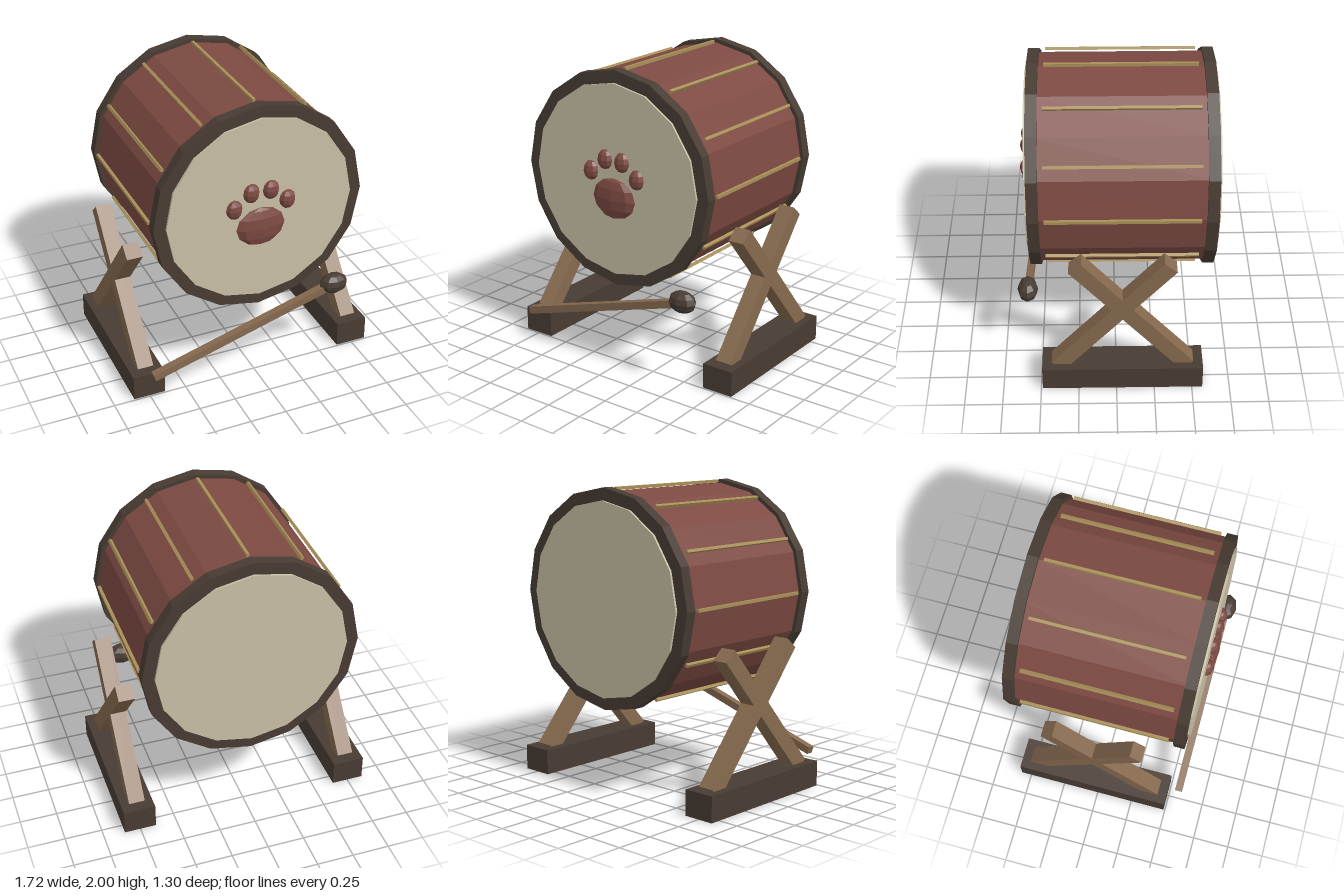
import * as THREE from 'three';

const mat = (color) => new THREE.MeshStandardMaterial({ color, flatShading: true, roughness: 0.9 });
const RED = mat(0x7d4a42), DARK = mat(0x483c33), SKIN = mat(0xc8bfa5), WOOD = mat(0x876a4f), GOLD = mat(0xa88f58);
const CY = 1.2875, CZ = -0.04; // drum axis

export function createModel() {
  const model = new THREE.Group();

  const add = (name, geometry, material, x, y, z, parent = model) => {
    const mesh = new THREE.Mesh(geometry, material);
    mesh.name = name;
    mesh.position.set(x, y, z);
    parent.add(mesh);
    return mesh;
  };

  // 16-sided disc along z, with a corner at the top
  const disc = (name, radius, z0, z1, material) => {
    const g = new THREE.CylinderGeometry(radius, radius, z1 - z0, 16).rotateX(Math.PI / 2);
    return add(name, g, material, 0, CY, (z0 + z1) / 2);
  };

  // Low-poly ellipsoid
  const blob = (name, material, x, y, z, rx, ry, rz, parent) =>
    add(name, new THREE.SphereGeometry(1, 8, 6).scale(rx, ry, rz), material, x, y, z, parent);

  // Square bar between two points
  const bar = (name, a, b, width, depth, material, parent) => {
    const dir = b.clone().sub(a);
    const m = add(name, new THREE.BoxGeometry(width, depth, dir.length()), material, 0, 0, 0, parent);
    m.position.copy(a).add(b).multiplyScalar(0.5);
    m.quaternion.setFromUnitVectors(new THREE.Vector3(0, 0, 1), dir.normalize());
    return m;
  };

  // Drum shell, rims and skins
  disc('shell', 0.687, -0.6, 0.52, RED);
  disc('frontRim', 0.7125, 0.48, 0.553, DARK);
  disc('backRim', 0.7125, -0.635, -0.562, DARK);
  disc('frontSkin', 0.632, 0.5, 0.568, SKIN);
  disc('backSkin', 0.632, -0.65, -0.58, SKIN);

  // Twelve thin strips along the shell
  const strips = new THREE.Group();
  strips.name = 'strips';
  model.add(strips);
  for (let i = 0; i < 12; i++) {
    const a = (i * Math.PI) / 6;
    const strip = add('strip', new THREE.BoxGeometry(0.02, 0.02, 0.975), GOLD,
      0.7 * Math.sin(a), CY + 0.7 * Math.cos(a), CZ, strips);
    strip.rotation.z = -a;
  }

  // Paw emblem on the front skin
  const paw = new THREE.Group();
  paw.name = 'paw';
  model.add(paw);
  blob('pad', RED, 0, 1.17, 0.57, 0.167, 0.135, 0.045, paw);
  for (const s of [-1, 1]) {
    blob('innerToe', RED, s * 0.067, 1.42, 0.57, 0.055, 0.066, 0.043, paw);
    blob('outerToe', RED, s * 0.182, 1.328, 0.57, 0.055, 0.066, 0.043, paw);
  }

  // Stand: a foot block and crossed braces on each side
  for (const s of [-1, 1]) {
    const stand = new THREE.Group();
    stand.name = s > 0 ? 'leftStand' : 'rightStand';
    model.add(stand);
    add('foot', new THREE.BoxGeometry(0.216, 0.17, 1.06), DARK, s * 0.75, 0.085, CZ, stand);
    for (const d of [-1, 1]) {
      bar('brace', new THREE.Vector3(s * 0.75, 0.15, CZ + d * 0.427),
        new THREE.Vector3(s * 0.75, 0.995, CZ - d * 0.302), 0.108, 0.106, WOOD, stand);
    }
  }

  // Beater leaning across the front
  const beater = new THREE.Group();
  beater.name = 'beater';
  model.add(beater);
  const stick = add('stick', new THREE.BoxGeometry(1.31, 0.05, 0.05), WOOD, -0.118, 0.396, 0.57, beater);
  stick.rotation.set(0, -0.008, Math.atan2(0.385, 1.27));
  blob('beaterHead', DARK, 0.54, 0.602, 0.578, 0.1, 0.072, 0.068, beater);

  return model;
}
